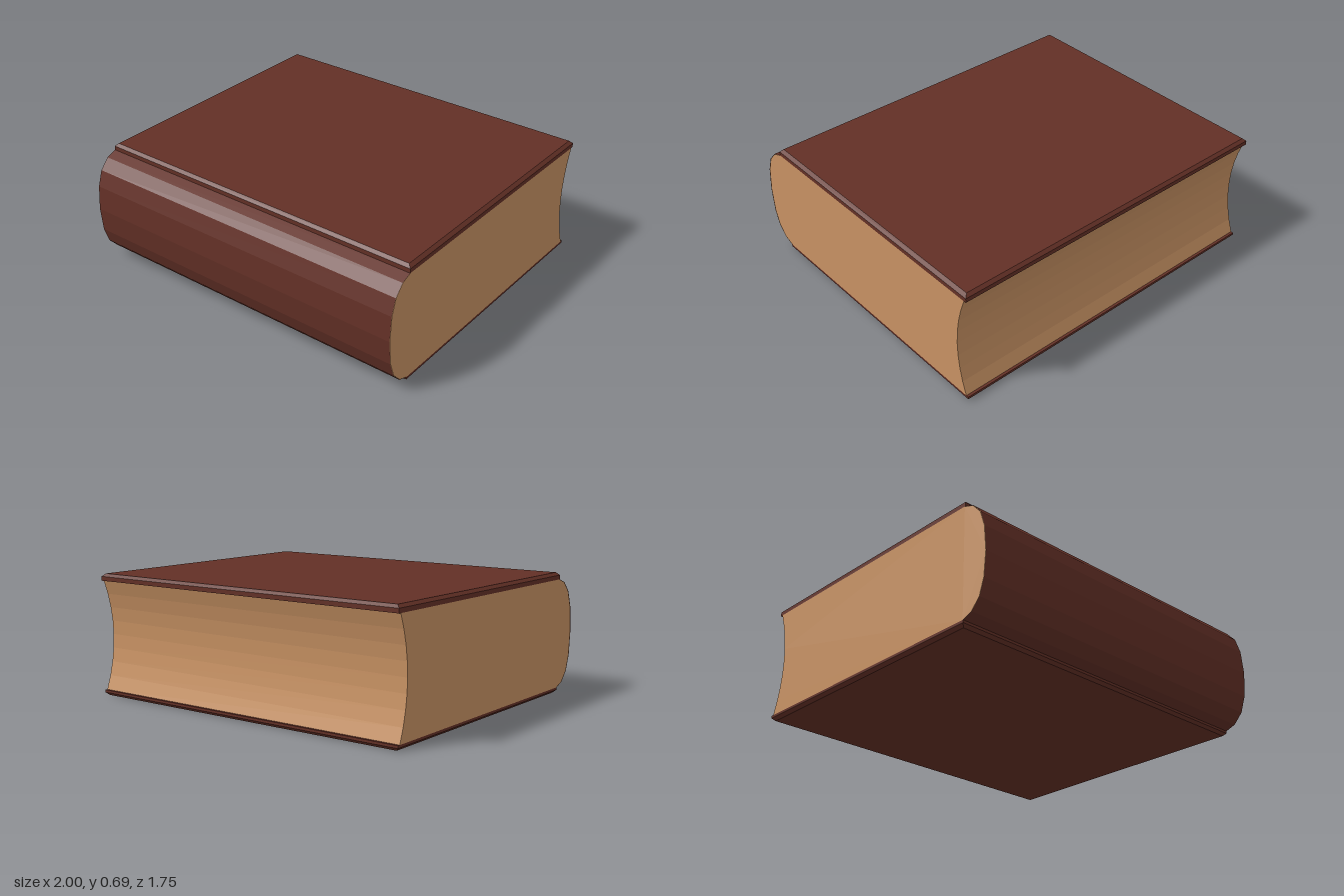
import * as THREE from 'three';

const MID = 0.34; // height of the book's middle plane

export function createModel() {
  const book = new THREE.Group();
  book.name = 'book';
  const leather = new THREE.MeshStandardMaterial({ color: 0x633026, flatShading: true, side: THREE.DoubleSide });
  leather.name = 'brown leather';
  const paper = new THREE.MeshStandardMaterial({ color: 0xc89263, flatShading: true });
  paper.name = 'tan paper';

  const add = (name, geometry, material) => {
    const mesh = new THREE.Mesh(geometry, material);
    mesh.name = name;
    book.add(mesh);
  };

  // Rounded spine profile as [z, y], mirrored about the middle plane
  const half = [[0.72, 0.31], [0.78, 0.288], [0.833, 0.23], [0.863, 0.14]];
  const spine = [
    ...half.map(([z, y]) => [z, MID - y]),
    [0.875, MID],
    ...half.map(([z, y]) => [z, MID + y]).reverse(),
  ];

  // Concave fore edge at the back, from top to bottom
  const foreEdge = [];
  for (let i = 0; i <= 8; i++) {
    const t = 1 - i / 4;
    foreEdge.push([-0.8 - 0.06 * t * t, MID + 0.31 * t]);
  }

  // Page block, kept just inside the spine sheet
  const outline = [...spine.map(([z, y]) => [z - 0.003, y]), ...foreEdge];
  const pages = new THREE.ExtrudeGeometry(
    new THREE.Shape(outline.map(([z, y]) => new THREE.Vector2(z, y))),
    { depth: 2, bevelEnabled: false },
  );
  pages.rotateY(-Math.PI / 2).translate(1, 0, 0);
  add('pages', pages, paper);

  // Spine: a sheet bent along the profile
  const sheet = new THREE.PlaneGeometry(2, 1, 1, spine.length - 1);
  const sp = sheet.attributes.position;
  for (let i = 0; i < sp.count; i++) {
    const [z, y] = spine[spine.length - 1 - Math.floor(i / 2)];
    sp.setXYZ(i, sp.getX(i), y, z);
  }
  sheet.computeVertexNormals();
  add('spine', sheet, leather);

  // Cover boards: boxes whose outer face is drawn in to make a chamfer
  const board = (name, inner, outer, shoulder) => {
    const geometry = new THREE.BoxGeometry(2, 1, 1.595, 1, 2, 1);
    const p = geometry.attributes.position;
    const side = Math.sign(outer - inner);
    for (let i = 0; i < p.count; i++) {
      const level = p.getY(i) * side;
      if (level > 0.1) {
        p.setX(i, p.getX(i) - Math.sign(p.getX(i)) * 0.018);
        p.setZ(i, p.getZ(i) - Math.sign(p.getZ(i)) * 0.016);
      }
      p.setY(i, level > 0.1 ? outer : level < -0.1 ? inner : shoulder);
    }
    geometry.translate(0, 0, -0.0775);
    geometry.computeVertexNormals();
    add(name, geometry, leather);
  };
  board('topCover', 0.65, 0.69, 0.674);
  board('bottomCover', 0.03, 0, 0.016);

  return book;
}
